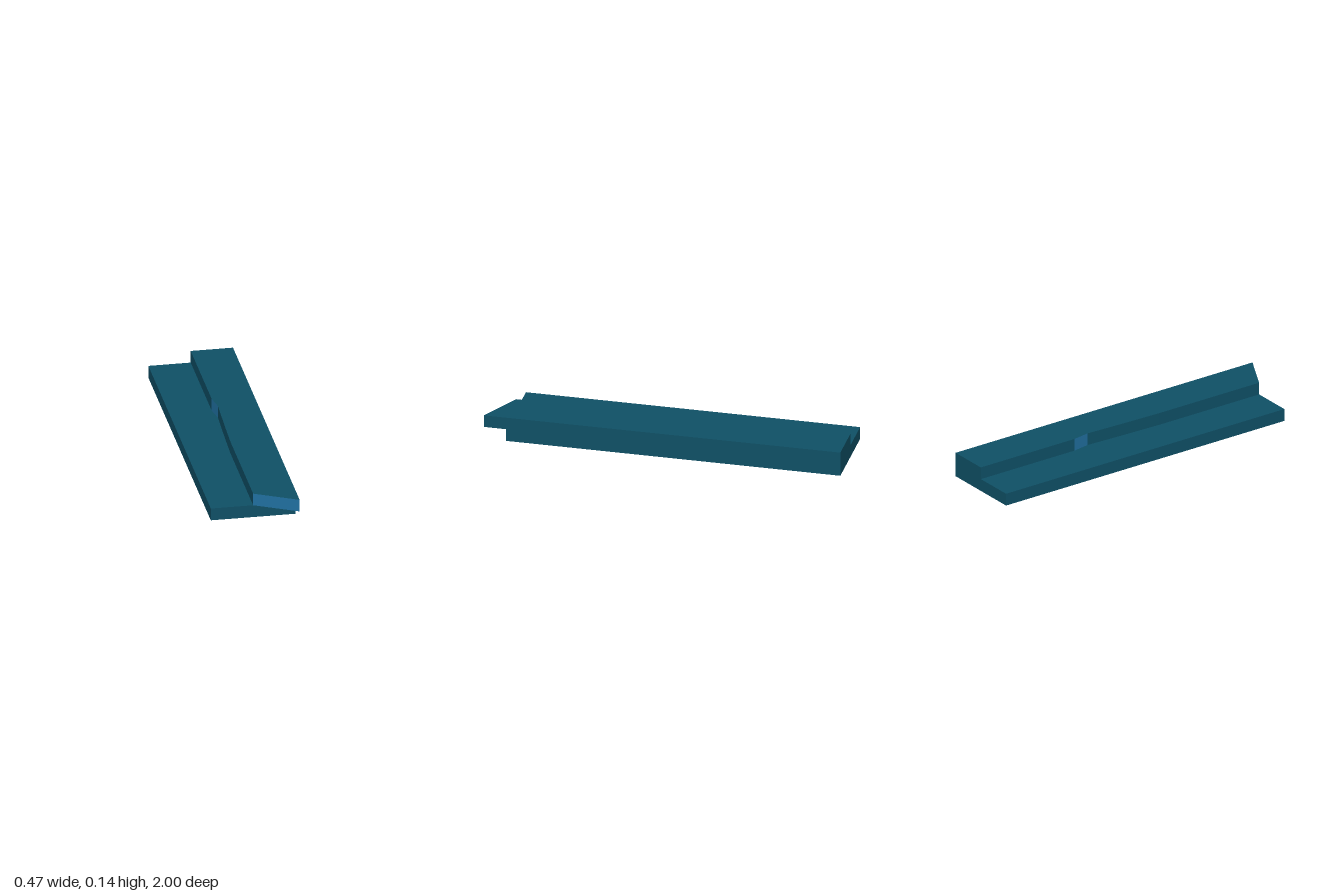
import * as THREE from 'three';

const HALF = 0.235;   // half width
const STEP = 0.071;   // height of the lower slab
const TOP = 0.141;    // height of the raised strip
const END = 0.875;    // front end of the slab

export function createModel() {
  const teal = new THREE.MeshStandardMaterial({ color: 0x0f5066 });
  teal.name = 'deep teal';
  const blue = new THREE.MeshStandardMaterial({ color: 0x2070a0 });
  blue.name = 'cut face blue';

  const model = new THREE.Group();
  model.name = 'steppedPlank';

  // Lower slab
  const slab = new THREE.Mesh(new THREE.BoxGeometry(HALF * 2, STEP, END + 1), teal);
  slab.name = 'lowerSlab';
  slab.position.set(0, STEP / 2, (END - 1) / 2);
  model.add(slab);

  // Raised strip: plan outline in (x, z), with a shallow notch and a slanted, overhanging end
  const outline = [
    [0, -1], [HALF, -1], [HALF, 1], [0, END], [0, 0.2],
    [0.006, 0], [0.013, -0.18], [0.017, -0.27], [0, -0.37],
  ].map(([x, z]) => new THREE.Vector2(x, z));
  const geometry = new THREE.ExtrudeGeometry(new THREE.Shape(outline), {
    depth: TOP - STEP, bevelEnabled: false, steps: 1,
  });
  geometry.rotateX(Math.PI / 2);
  geometry.translate(0, TOP, 0);

  // Faces turned to the front left are the blue cuts
  const normal = geometry.getAttribute('normal');
  geometry.clearGroups();
  for (let i = 0; i < normal.count; i += 3) {
    const cut = normal.getX(i) < -0.3 && normal.getZ(i) > 0.1;
    geometry.addGroup(i, 3, cut ? 1 : 0);
  }
  const strip = new THREE.Mesh(geometry, [teal, blue]);
  strip.name = 'raisedStrip';
  model.add(strip);

  return model;
}
